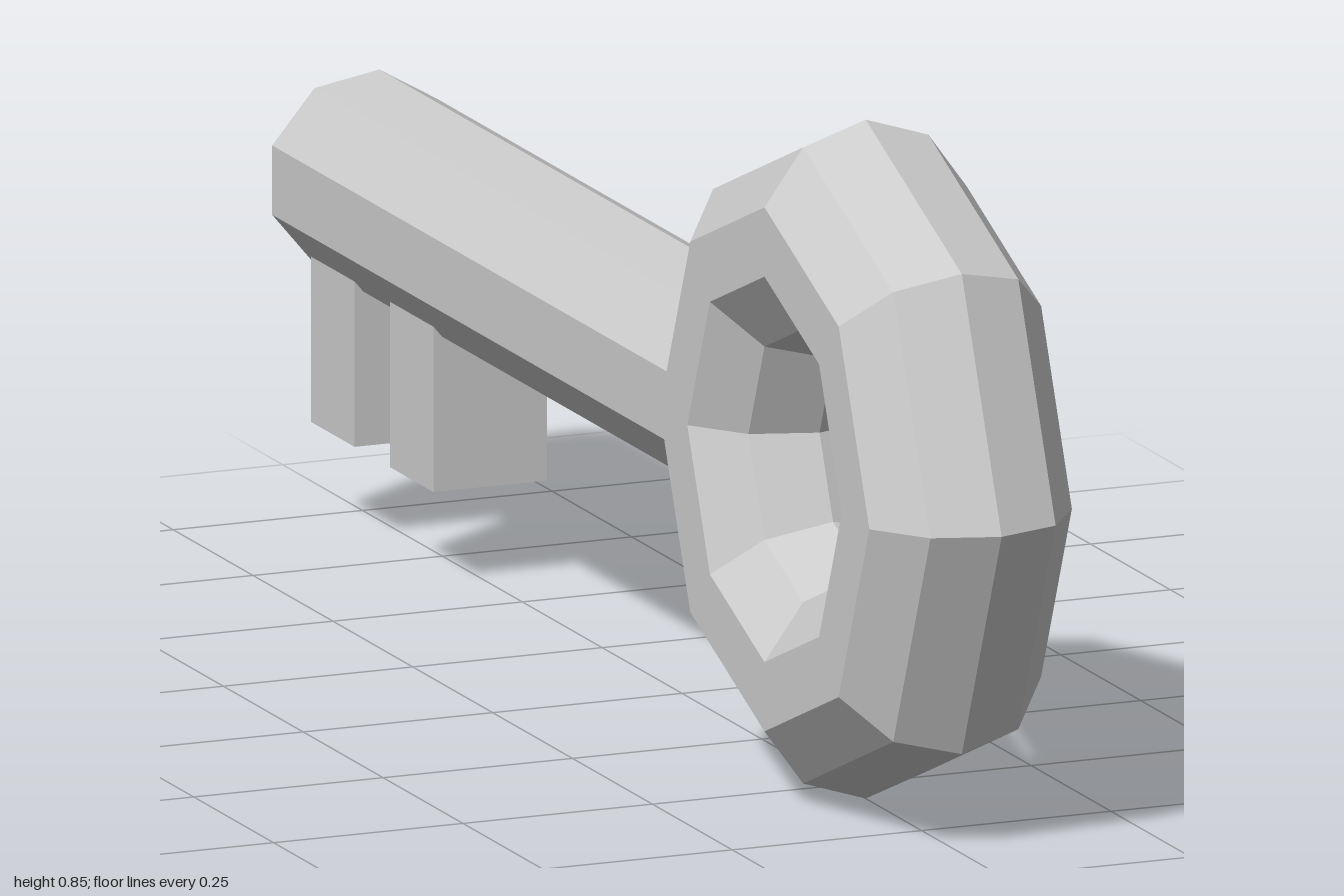
import * as THREE from 'three';

export function createModel() {
  const group = new THREE.Group();
  group.name = 'key';
  const material = new THREE.MeshStandardMaterial({ color: 0xcccccc, flatShading: true });
  const axisY = 0.4265;

  const add = (name, geometry, y, z) => {
    const mesh = new THREE.Mesh(geometry, material);
    mesh.name = name;
    mesh.position.set(0, y, z);
    group.add(mesh);
  };

  // Octagonal ring handle, facing sideways
  add('bowRing', new THREE.TorusGeometry(0.285, 0.1405, 10, 8).rotateY(Math.PI / 2), axisY, 0.575);

  // Nine-sided shaft, running from inside the ring to the back end
  const shaftFront = 0.33, shaftBack = -1;
  const shaft = new THREE.CylinderGeometry(
    0.127, 0.127, shaftFront - shaftBack, 9, 1, false, Math.PI / 2
  ).rotateX(Math.PI / 2);
  add('shaft', shaft, axisY, (shaftFront + shaftBack) / 2);

  // Two teeth hanging below the shaft
  const toothBottom = 0.123, toothTop = 0.335;
  [['frontTooth', -0.668], ['backTooth', -0.915]].forEach(([name, z]) => {
    add(name, new THREE.BoxGeometry(0.15, toothTop - toothBottom, 0.136), (toothTop + toothBottom) / 2, z);
  });

  return group;
}
